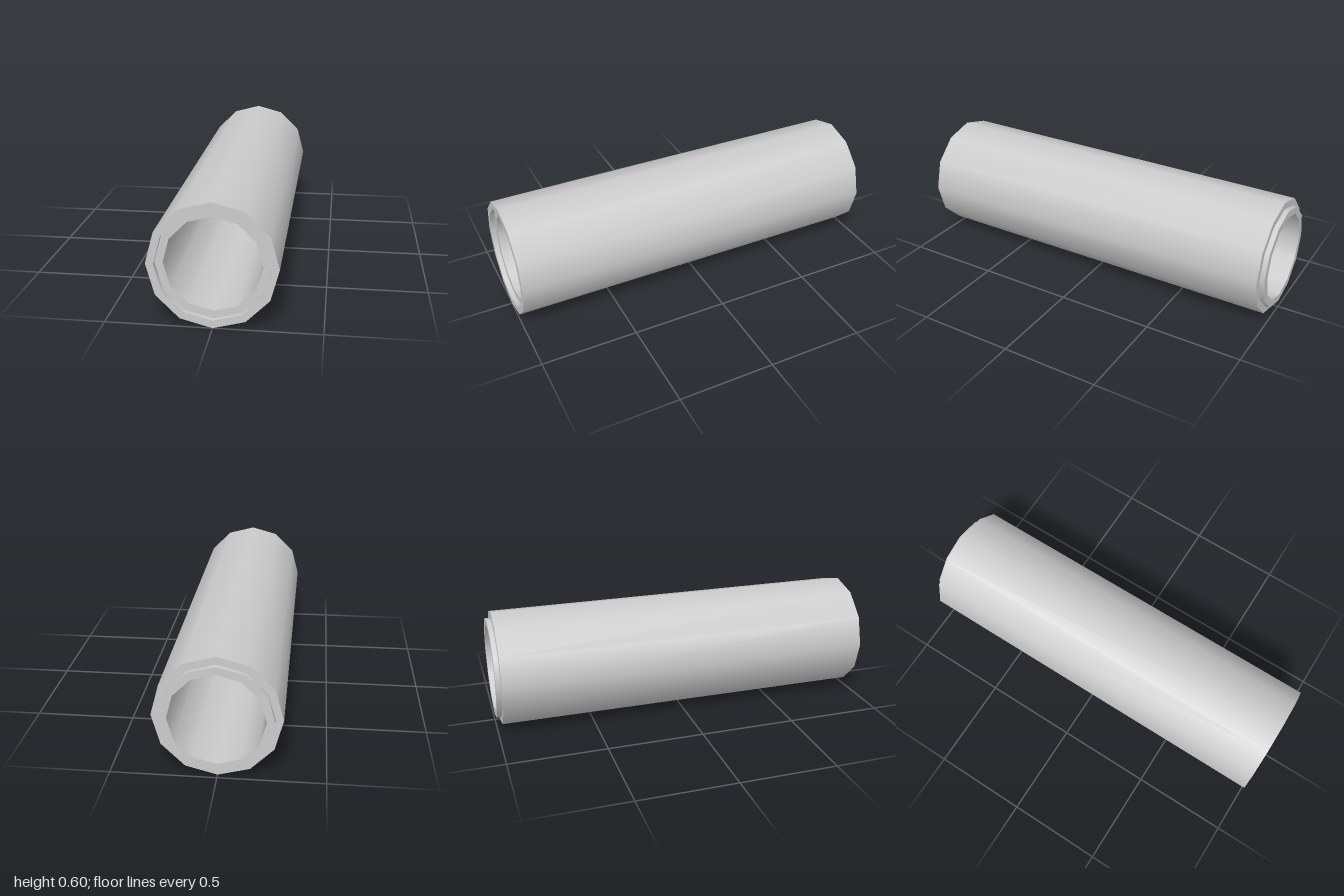
import * as THREE from 'three';
import { mergeGeometries } from 'three/addons/utils/BufferGeometryUtils.js';

const SIDES = 12;
const OUTER = 0.3, JOINT = 0.263, INNER = 0.225;
const STEP = 0.025; // length of the spigot and depth of the socket

export function createModel() {
  const group = new THREE.Group();
  group.name = 'pipeSection';

  // closed wall profile [radius, position along the pipe], back to front
  const profile = [
    [INNER, -1], [JOINT, -1],               // spigot end
    [JOINT, -1 + STEP], [OUTER, -1 + STEP], // back shoulder
    [OUTER, 1], [JOINT, 1],                 // front rim
    [JOINT, 1 - STEP], [INNER, 1 - STEP],   // socket recess
  ];

  // one lathe per profile edge: smooth around, sharp between edges
  const bands = profile.map((p, i) => {
    const q = profile[(i + 1) % profile.length];
    return new THREE.LatheGeometry([new THREE.Vector2(...p), new THREE.Vector2(...q)], SIDES);
  });

  const pipe = new THREE.Mesh(
    mergeGeometries(bands).rotateX(Math.PI / 2),
    new THREE.MeshStandardMaterial({ color: 0xcccccc })
  );
  pipe.name = 'pipe';
  pipe.position.y = OUTER;
  group.add(pipe);
  return group;
}
